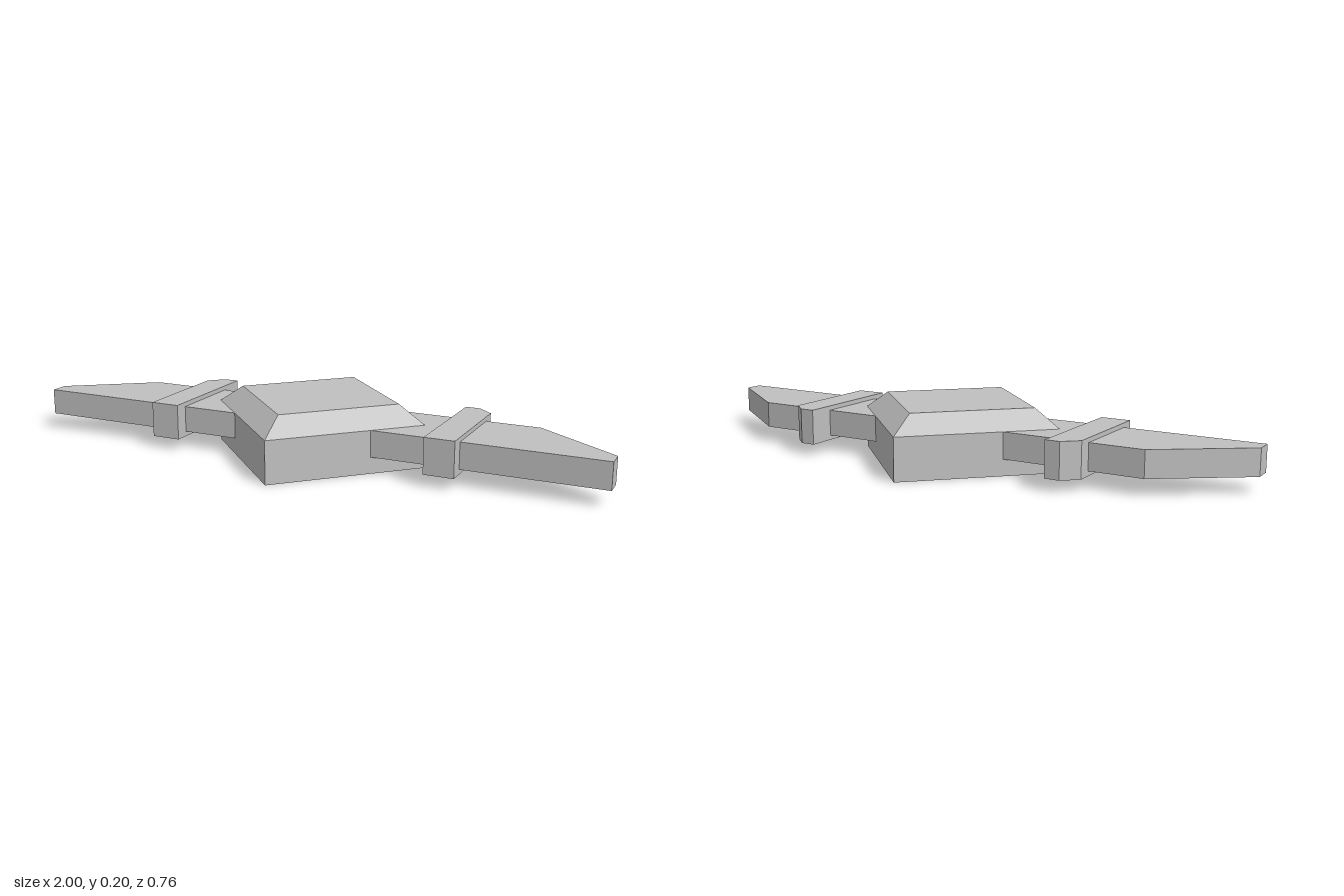
import * as THREE from 'three';

const grey = new THREE.MeshStandardMaterial({ color: 0xc0c0c0, flatShading: true });
grey.name = 'grey';

// Horizontal plate from an outline of [x, z] points, between two heights
function plate(name, outline, y0, y1) {
  const shape = new THREE.Shape(outline.map(([x, z]) => new THREE.Vector2(x, -z)));
  const geo = new THREE.ExtrudeGeometry(shape, { depth: y1 - y0, bevelEnabled: false });
  geo.rotateX(-Math.PI / 2).translate(0, y0, 0);
  const mesh = new THREE.Mesh(geo, grey);
  mesh.name = name;
  return mesh;
}

export function createModel() {
  const model = new THREE.Group();
  model.name = 'wingedDiamond';

  // Diamond body with a bevelled top
  const profile = [[0, 0], [0.378, 0], [0.378, 0.143], [0.288, 0.203], [0, 0.203]]
    .map(([r, y]) => new THREE.Vector2(r, y));
  const body = new THREE.Mesh(new THREE.LatheGeometry(profile, 4), grey);
  body.name = 'body';
  model.add(body);

  // Wing plate running through the body, tips swept at the back
  model.add(plate('wings', [
    [-1, 0.132], [1, 0.132], [1, 0.07], [0.72, -0.132], [-0.72, -0.132], [-1, 0.07],
  ], 0.055, 0.143));

  // Bars across the wings, with the outer back corner cut off
  for (const [name, s] of [['leftBar', 1], ['rightBar', -1]]) {
    model.add(plate(name, [
      [0.44, 0.18], [0.54, 0.18], [0.54, -0.18], [0.49, -0.225], [0.44, -0.225],
    ].map(([x, z]) => [s * x, z]), 0.039, 0.158));
  }
  return model;
}
